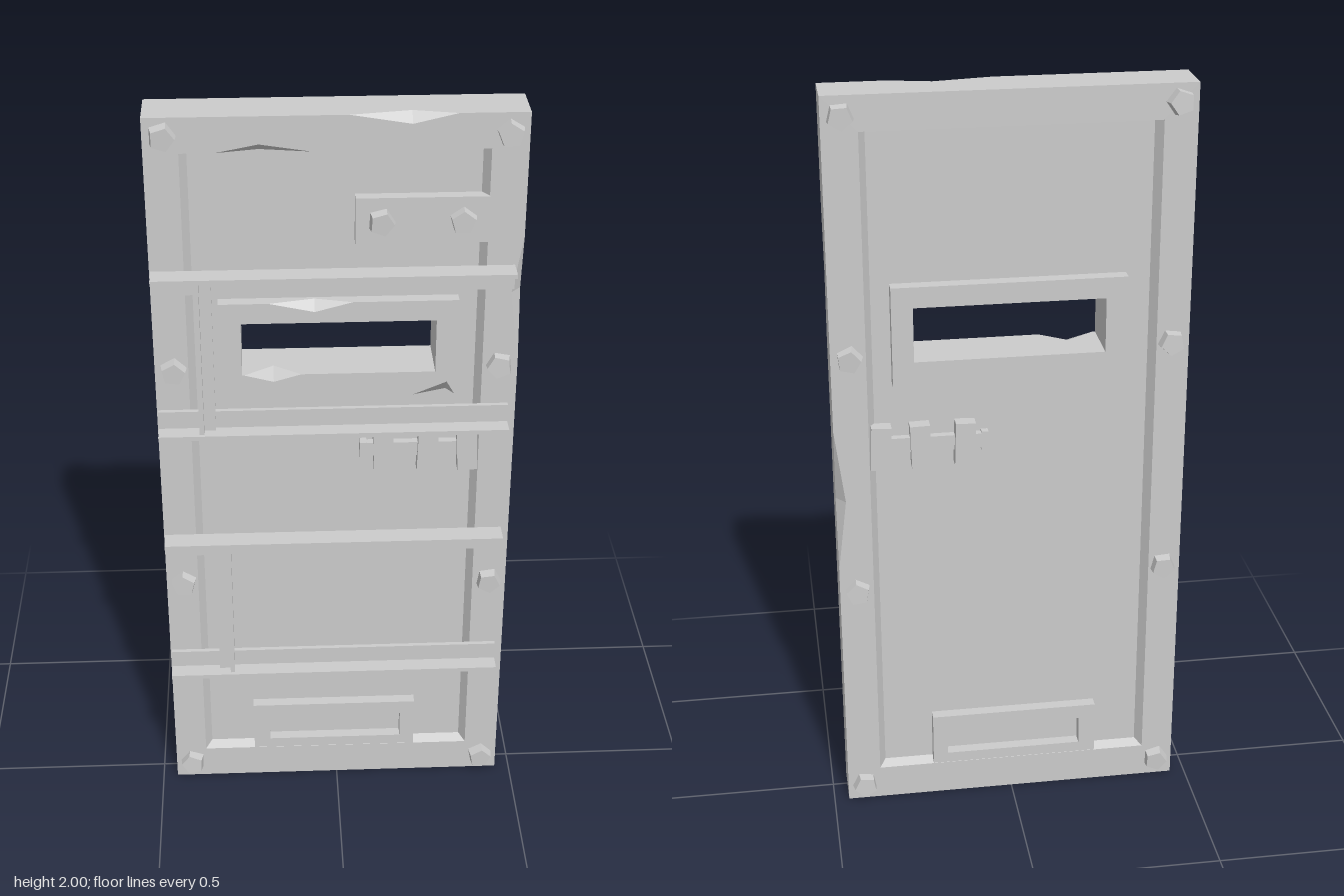
import * as THREE from 'three';
import { mergeGeometries } from 'three/addons/utils/BufferGeometryUtils.js';

const FRONT = 0.05, BACK = -0.075;            // frame faces
const PANEL_FRONT = 0.025, PANEL_BACK = -0.05; // recessed panel faces
const material = new THREE.MeshStandardMaterial({ color: 0xcccccc, flatShading: true, side: THREE.DoubleSide });

function add(parent, name, geometry, x = 0, y = 0, z = 0) {
  const mesh = new THREE.Mesh(geometry, material);
  mesh.name = name;
  mesh.position.set(x, y, z);
  parent.add(mesh);
  return mesh;
}

// Box given by its limits
function block(parent, name, x0, x1, y0, y1, z0, z1) {
  return add(parent, name, new THREE.BoxGeometry(x1 - x0, y1 - y0, z1 - z0),
    (x0 + x1) / 2, (y0 + y1) / 2, (z0 + z1) / 2);
}

// Flat polygon in (u, v) placed in space by a mapping
function face(points, holes, map) {
  const shape = new THREE.Shape(points.map(p => new THREE.Vector2(...p)));
  for (const h of holes) shape.holes.push(new THREE.Path(h.map(p => new THREE.Vector2(...p))));
  const g = new THREE.ShapeGeometry(shape).toNonIndexed();
  const pos = g.attributes.position;
  for (let i = 0; i < pos.count; i++) pos.setXYZ(i, ...map(pos.getX(i), pos.getY(i)));
  return g;
}

function triangles(points) {
  const g = new THREE.BufferGeometry().setFromPoints(points.map(p => new THREE.Vector3(...p)));
  g.setAttribute('normal', new THREE.Float32BufferAttribute(points.length * 3, 3));
  g.setAttribute('uv', new THREE.Float32BufferAttribute(points.length * 2, 2));
  return g;
}

// Rectangular slab with one rectangular hole and chips knocked out of its edges.
// rect: [x0, x1, y0, y1]; chip: loop (0 outer, 1 hole), side, start, end and
// middle along the side, depth into the face, depth into the wall, front or back.
function chippedSlab(outer, hole, z0, z1, chips = []) {
  const parts = [];
  const contours = { front: [], back: [] };
  [outer, hole].forEach(([x0, x1, y0, y1], loop) => {
    const corners = [[x0, y0], [x1, y0], [x1, y1], [x0, y1]];
    if (loop) corners.reverse(); // keeps the material on the left
    const frontLine = [], backLine = [];
    corners.forEach((p, side) => {
      const q = corners[(side + 1) % 4];
      const length = Math.hypot(q[0] - p[0], q[1] - p[1]);
      const d = [(q[0] - p[0]) / length, (q[1] - p[1]) / length];
      const at = (t, inward = 0) => [p[0] + d[0] * t - d[1] * inward, p[1] + d[1] * t + d[0] * inward];
      const low = [[0, z0]], high = [[0, z1]];
      frontLine.push(p);
      backLine.push(p);
      for (const c of chips.filter(k => k.loop === loop && k.side === side)) {
        const z = c.front ? z1 : z0;
        const zWall = c.front ? z1 - c.wall : z0 + c.wall;
        (c.front ? frontLine : backLine).push(at(c.a), at(c.m, c.depth), at(c.b));
        (c.front ? high : low).push([c.a, z], [c.m, zWall], [c.b, z]);
        const A = [...at(c.a), z], B = [...at(c.b), z];
        const P = [...at(c.m), zWall], Q = [...at(c.m, c.depth), z];
        parts.push(triangles(c.front ? [A, P, Q, P, B, Q] : [A, Q, P, P, Q, B]));
      }
      low.push([length, z0]);
      high.push([length, z1]);
      parts.push(face([...low, ...high.reverse()], [], (u, v) => [...at(u), v]));
    });
    contours.front.push(frontLine);
    contours.back.push(backLine);
  });
  parts.push(face(contours.front[0], [contours.front[1]], (u, v) => [u, v, z1]));
  const flip = line => line.map(([x, y]) => [-x, y]);
  parts.push(face(flip(contours.back[0]), [flip(contours.back[1])], (u, v) => [-u, v, z0]));
  const g = mergeGeometries(parts);
  g.computeVertexNormals();
  return g;
}

// Sloped strips between the frame opening and the panel
function slopes(zFrame, zPanel) {
  const a = [[-0.375, 1.91], [-0.375, 0.095], [0.37, 0.095], [0.37, 1.91]];
  const b = [[-0.357, 1.91], [-0.357, 0.108], [0.353, 0.108], [0.353, 1.91]];
  const pts = [];
  for (let i = 0; i < 3; i++) {
    const A = [...a[i], zFrame], B = [...a[i + 1], zFrame];
    const C = [...b[i + 1], zPanel], D = [...b[i], zPanel];
    pts.push(...(zFrame > zPanel ? [A, B, C, A, C, D] : [A, C, B, A, D, C]));
  }
  const g = triangles(pts);
  g.computeVertexNormals();
  return g;
}

// Five-sided bolt head; dir is +1 on the front, -1 on the back
function bolt(parent, x, y, z, dir, turn, height = 0.034) {
  const g = new THREE.CylinderGeometry(0.031, 0.036, height, 5);
  g.rotateY(turn);
  g.rotateX(dir * Math.PI / 2);
  const mesh = add(parent, 'bolt', g, x, y, z + dir * (height / 2 - 0.008));
  mesh.rotation.set(0.06 * Math.sin(turn * 5), 0.08 * Math.cos(turn * 3), 0);
}

export function createModel() {
  const door = new THREE.Group();
  door.name = 'door';

  // Chipped outer frame
  add(door, 'frame', chippedSlab([-0.46, 0.46, 0, 2], [-0.375, 0.37, 0.095, 1.91], BACK, FRONT, [
    { loop: 0, side: 2, a: 0.17, b: 0.43, m: 0.28, depth: 0.025, wall: 0.025, front: true },
    { loop: 0, side: 1, a: 1.34, b: 1.68, m: 1.53, depth: 0.025, wall: 0.028, front: true },
    { loop: 0, side: 1, a: 0.73, b: 1.13, m: 0.93, depth: 0.025, wall: 0.03, front: false },
    { loop: 1, side: 0, a: 0.085, b: 0.315, m: 0.19, depth: 0.02, wall: 0.022, front: true },
  ]));
  add(door, 'frontSlopes', slopes(FRONT, PANEL_FRONT));
  add(door, 'backSlopes', slopes(BACK, PANEL_BACK));

  // Recessed panel
  add(door, 'panel', chippedSlab([-0.375, 0.37, 0.095, 1.91], [-0.26, 0.27, 1.29, 1.48], PANEL_BACK, PANEL_FRONT));

  // Viewing slot with chipped surround
  add(door, 'windowFrame', chippedSlab([-0.295, 0.305, 1.25, 1.515], [-0.24, 0.25, 1.315, 1.46], -0.085, 0.058, [
    { loop: 0, side: 2, a: 0.265, b: 0.475, m: 0.36, depth: 0.025, wall: 0.025, front: true },
    { loop: 0, side: 0, a: 0.49, b: 0.595, m: 0.575, depth: 0.035, wall: 0.03, front: true },
    { loop: 1, side: 2, a: 0.34, b: 0.485, m: 0.41, depth: 0.02, wall: 0.05, front: true },
  ]));

  // Lower hatch surround
  add(door, 'hatchFrame', chippedSlab([-0.235, 0.22, 0.1, 0.25], [-0.19, 0.18, 0.13, 0.21], -0.081, 0.055));

  // Angle-iron rails in two pairs, each pair joined by an upright
  for (const [top, bottom, x] of [[1.605, 1.155, -0.352], [0.833, 0.392, -0.325]]) {
    const rack = new THREE.Group();
    rack.name = 'railPair';
    block(rack, 'upperShelf', -0.457, 0.44, top - 0.012, top, 0.05, 0.107);
    block(rack, 'upperFlange', -0.457, 0.44, top - 0.06, top - 0.012, 0.05, 0.062);
    block(rack, 'lowerShelf', -0.457, 0.44, bottom, bottom + 0.012, 0.05, 0.107);
    block(rack, 'lowerFlange', -0.457, 0.44, bottom + 0.012, bottom + 0.06, 0.05, 0.062);
    block(rack, 'uprightPlate', x, x + 0.042, bottom + 0.012, top - 0.012, 0.066, 0.076);
    const leg = x < -0.34 ? x : x + 0.03;
    block(rack, 'uprightLeg', leg, leg + 0.012, bottom + 0.012, top - 0.012, 0.076, 0.097);
    door.add(rack);
  }

  // Plate with two bolts
  block(door, 'boltPlate', 0.045, 0.37, 1.67, 1.79, PANEL_FRONT, 0.055);
  bolt(door, 0.108, 1.73, 0.052, 1, 0.25);
  bolt(door, 0.307, 1.73, 0.052, 1, 0.6);

  // Sliding latch on both sides
  const latch = new THREE.Group();
  latch.name = 'latch';
  for (const [z0, z1, side] of [[PANEL_FRONT, 0.045, 1], [-0.07, PANEL_BACK, -1]]) {
    block(latch, 'latchBar', 0.065, 0.365, 1.06, 1.1, z0, z1);
    block(latch, 'latchEnd', 0.06, 0.078, 1.05, 1.105, z0, z1 + (side > 0 ? 0.006 : 0));
    [0.122, 0.237, 0.34].forEach((x, i) => {
      const z = side > 0 ? 0.04 : -0.069;
      const clasp = block(latch, 'latchClasp', x - 0.026, x + 0.026, 1.02, 1.138, z - 0.018, z + 0.018);
      clasp.rotation.z = [0.03, -0.03, 0.04][i];
    });
  }
  door.add(latch);

  // Frame bolts on both faces
  const rows = [[1.955, 1.95], [1.33, 1.33], [0.68, 0.665], [0.055, 0.05]];
  rows.forEach(([left, right], i) => {
    for (const [z, dir] of [[FRONT, 1], [BACK, -1]]) {
      bolt(door, -0.413, left, z, dir, 0.3 + i * 0.2);
      bolt(door, 0.413, right, z, dir, 0.7 + i * 0.35);
    }
  });

  return door;
}
